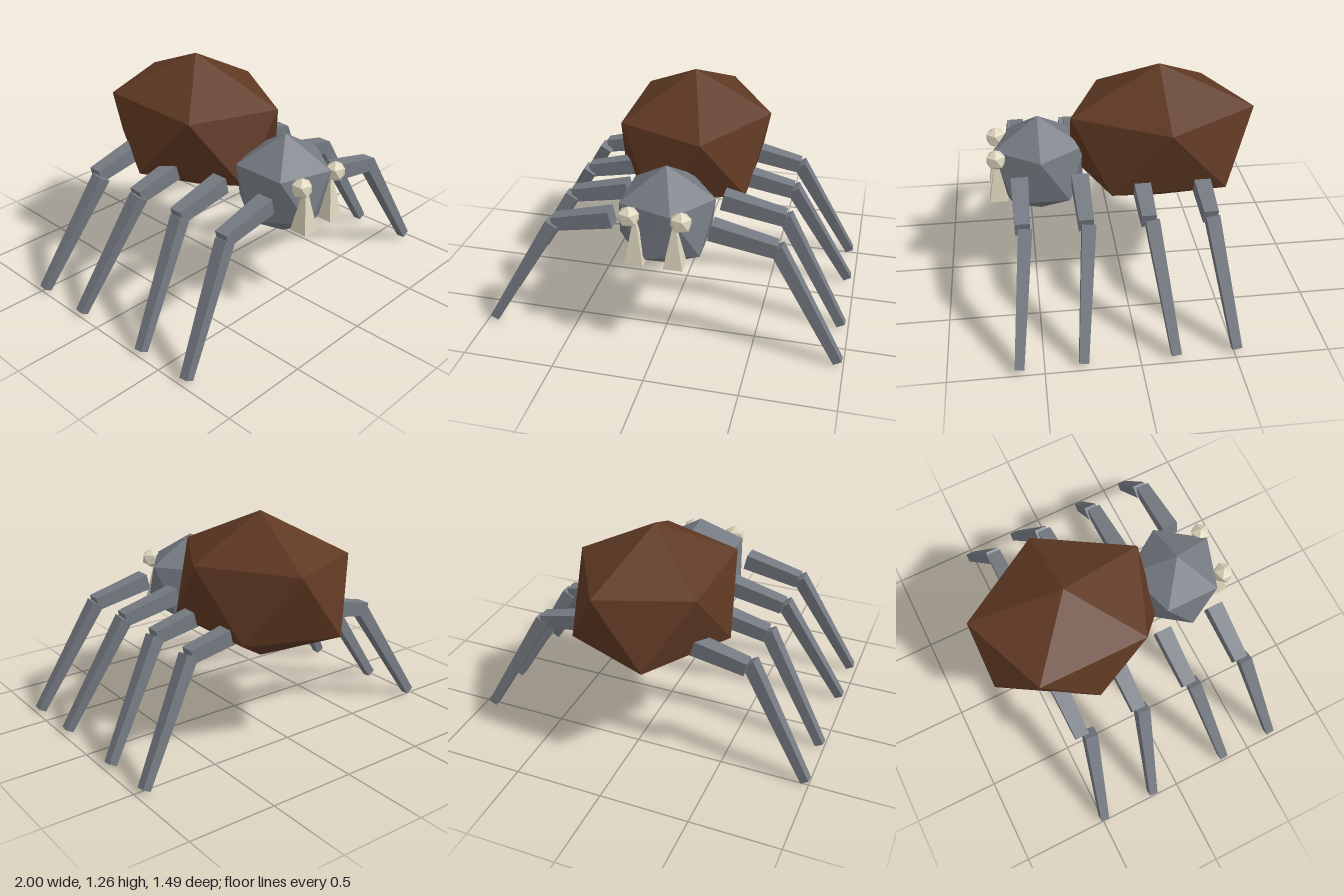
import * as THREE from 'three';

const flat = (name, color) => {
  const m = new THREE.MeshStandardMaterial({ color, flatShading: true });
  m.name = name;
  return m;
};

// Icosahedron standing on a corner, stretched to the given radii
function gem(name, material, center, rx, ry, rz) {
  const g = new THREE.IcosahedronGeometry(1, 0);
  g.rotateZ(-Math.atan(2 / (1 + Math.sqrt(5))));
  g.scale(rx, ry, rz);
  g.computeVertexNormals();
  const mesh = new THREE.Mesh(g, material);
  mesh.name = name;
  mesh.position.set(...center);
  return mesh;
}

// Square bar running from a to b, tapering from width wa to wb
function bar(name, material, a, b, wa, wb) {
  const start = new THREE.Vector3(...a), end = new THREE.Vector3(...b);
  const y = end.clone().sub(start);
  const length = y.length();
  y.normalize();
  const x = new THREE.Vector3().crossVectors(y, new THREE.Vector3(0, 0, 1)).normalize();
  const z = new THREE.Vector3().crossVectors(x, y);
  const g = new THREE.CylinderGeometry(wb * Math.SQRT1_2, wa * Math.SQRT1_2, length, 4);
  g.rotateY(Math.PI / 4);
  g.applyMatrix4(new THREE.Matrix4().makeBasis(x, y, z));
  const mesh = new THREE.Mesh(g, material);
  mesh.name = name;
  mesh.position.copy(start).add(end).multiplyScalar(0.5);
  return mesh;
}

export function createModel() {
  const brown = flat('brown', 0x5e3822);
  const grey = flat('grey', 0x757a82);
  const cream = flat('cream', 0xdcd4bc);
  const model = new THREE.Group();
  model.name = 'spider';

  // Body
  const abdomen = gem('abdomen', brown, [-0.003, 0.84, -0.238], 0.495, 0.42, 0.6);
  abdomen.rotation.x = 0.015;
  model.add(abdomen, gem('head', grey, [-0.005, 0.682, 0.452], 0.298, 0.298, 0.298));

  // Eyes, each with a fang hanging below
  for (const [eyeX, fangX] of [[-0.145, -0.113], [0.13, 0.096]]) {
    model.add(gem('eye', cream, [eyeX, 0.79, 0.692], 0.063, 0.06, 0.06));
    model.add(bar('fang', cream, [fangX, 0.53, 0.69], [fangX, 0.8, 0.69], 0.102, 0.004));
  }

  // Legs: side, hip z, knee z, foot x, foot z
  const legs = [
    [-1, 0.565, 0.587, 0.962, 0.667],
    [-1, 0.235, 0.26, 0.97, 0.335],
    [-1, -0.085, -0.065, 0.975, -0.157],
    [-1, -0.435, -0.39, 0.98, -0.488],
    [1, 0.57, 0.557, 0.97, 0.63],
    [1, 0.24, 0.227, 0.96, 0.297],
    [1, -0.09, -0.105, 0.957, -0.19],
    [1, -0.42, -0.425, 0.947, -0.515],
  ];
  for (const [side, hipZ, kneeZ, footX, footZ] of legs) {
    const leg = new THREE.Group();
    leg.name = side > 0 ? 'leftLeg' : 'rightLeg';
    const hipX = side > 0 ? 0.26 : 0.275;
    leg.add(bar('upperLeg', grey, [side * hipX, 0.703, hipZ], [side * 0.605, 0.63, hipZ], 0.095, 0.078));
    leg.add(bar('lowerLeg', grey, [side * 0.605, 0.635, kneeZ], [side * footX, 0.018, footZ], 0.074, 0.05));
    model.add(leg);
  }
  return model;
}
